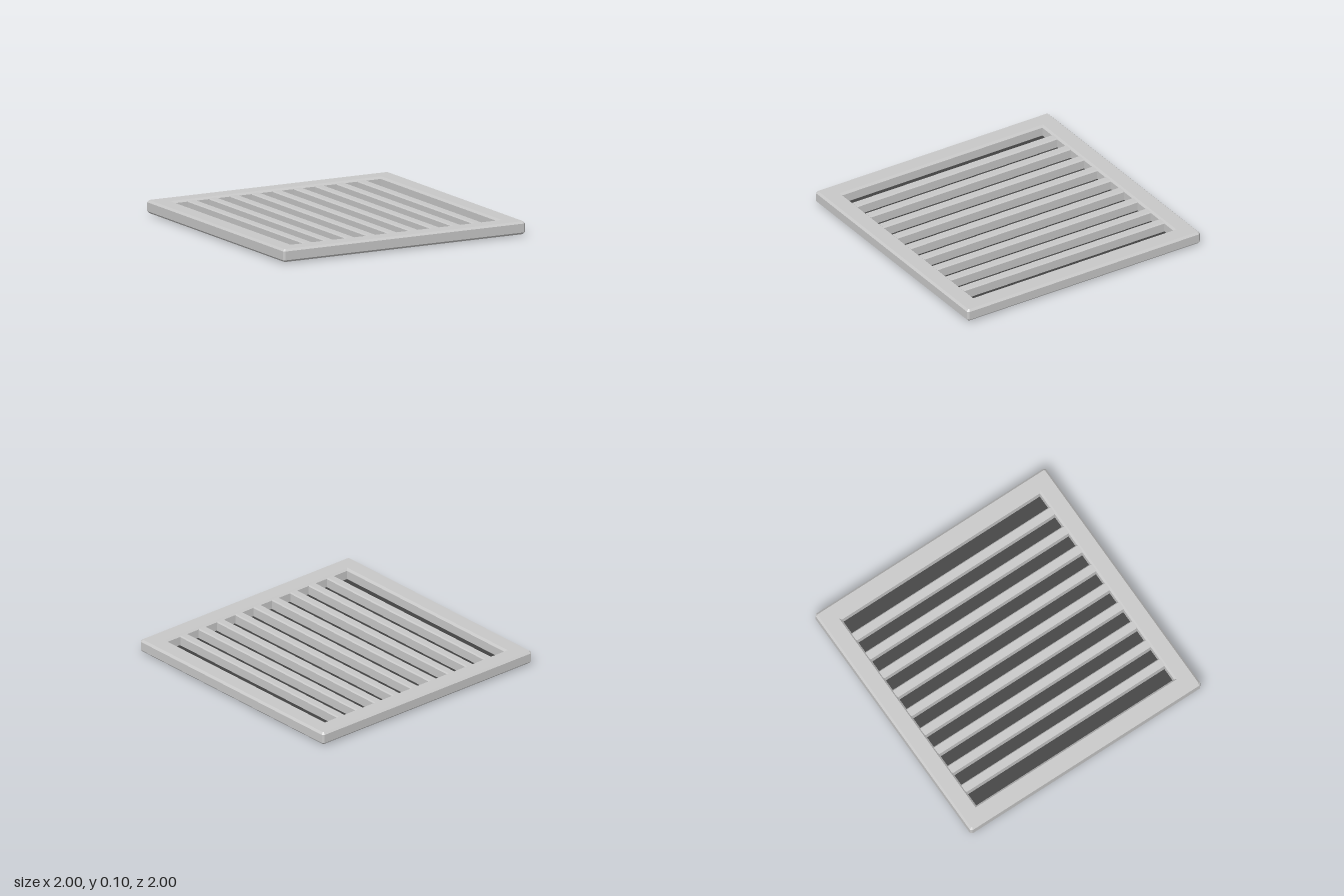
import * as THREE from 'three';

// Square outline with slightly cut corners
function outline(Type, half, cut) {
  const k = half - cut;
  const pts = [[half, -k], [half, k], [k, half], [-k, half], [-half, k], [-half, -k], [-k, -half], [k, -half]];
  return new Type(pts.map(([x, y]) => new THREE.Vector2(x, y)));
}

export function createModel() {
  const model = new THREE.Group();
  model.name = 'floorGrate';
  const metal = new THREE.MeshStandardMaterial({ color: 0xc8c8c8, flatShading: true });
  metal.name = 'light grey metal';
  const dark = new THREE.MeshStandardMaterial({ color: 0x424242, flatShading: true });
  dark.name = 'dark grey recess';

  function add(name, geometry, material, x, y, z) {
    const mesh = new THREE.Mesh(geometry, material);
    mesh.name = name;
    mesh.position.set(x, y, z);
    model.add(mesh);
    return mesh;
  }

  // Bevelled square frame with a square opening
  const bevel = 0.015;
  const shape = outline(THREE.Shape, 1 - bevel, 0.006);
  const h = 0.873;
  shape.holes.push(new THREE.Path([[-h, -h], [-h, h], [h, h], [h, -h]].map(([x, y]) => new THREE.Vector2(x, y))));
  const frame = new THREE.ExtrudeGeometry(shape, {
    depth: 0.095 - 2 * bevel, bevelEnabled: true, bevelSegments: 1, bevelSize: bevel, bevelThickness: bevel,
  });
  frame.rotateX(-Math.PI / 2);
  add('frame', frame, metal, 0, 0.01 + bevel, 0);

  // Backing plate and the dark floor seen through the slots
  add('backPlate', new THREE.BoxGeometry(1.75, 0.016, 1.75), metal, 0, 0.008, 0);
  add('recessFloor', new THREE.BoxGeometry(1.73, 0.006, 1.73), dark, 0, 0.019, 0);

  // Nine parallel slats with chamfered top edges
  const w = 0.034, c = 0.008, top = 0.075;
  const section = new THREE.Shape([[-w, 0], [w, 0], [w, top - c], [w - c, top], [c - w, top], [-w, top - c]]
    .map(([x, y]) => new THREE.Vector2(x, y)));
  const slat = new THREE.ExtrudeGeometry(section, { depth: 1.73, bevelEnabled: false });
  slat.translate(0, 0, -0.865);
  for (let i = -4; i <= 4; i++) add('slat', slat, metal, i * 0.175, 0.02, 0);

  return model;
}
